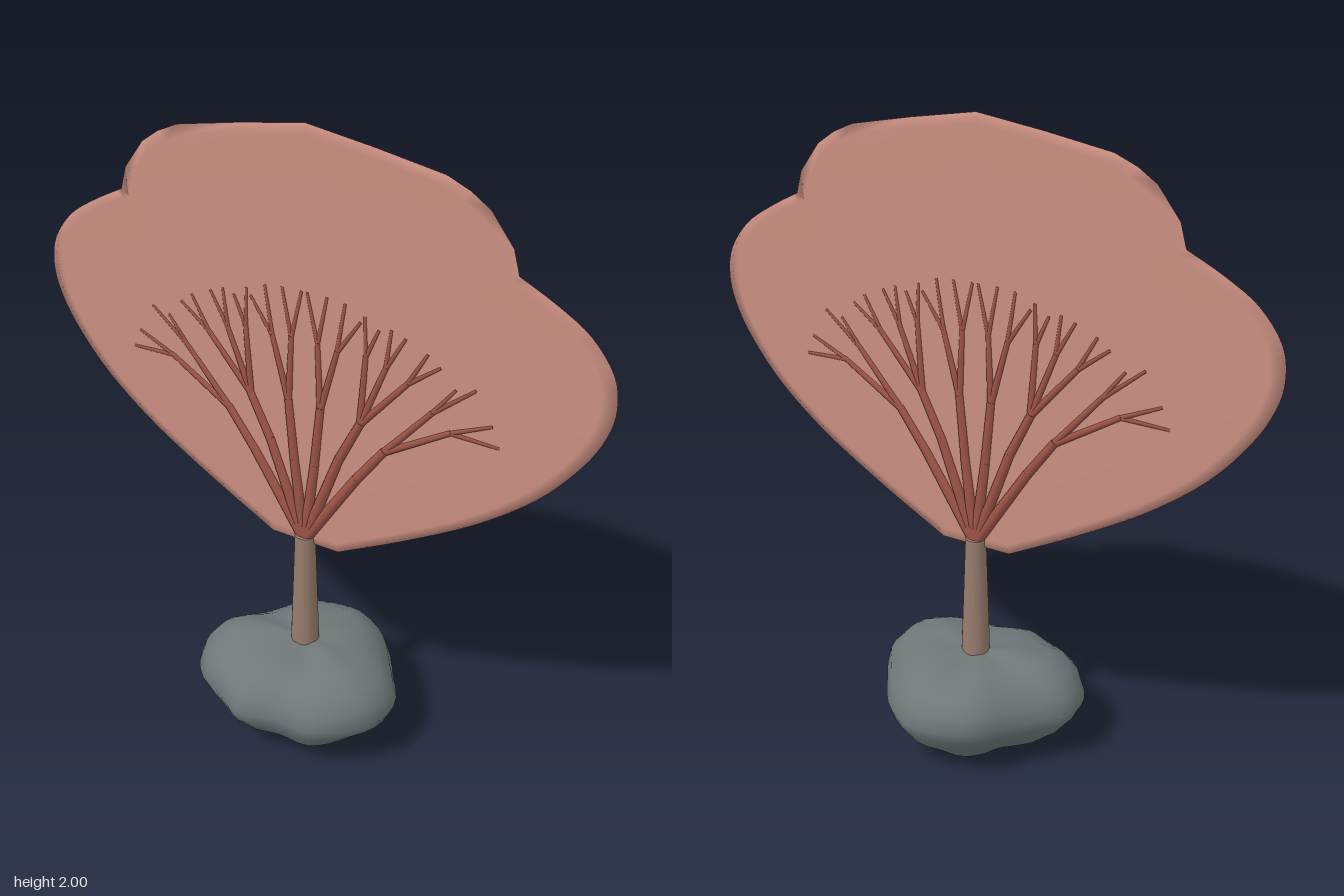
import * as THREE from 'three';

const mat = (name, color, side = THREE.FrontSide) => {
  const m = new THREE.MeshStandardMaterial({ color, side });
  m.name = name;
  return m;
};

// Skins a stack of closed loops; the first and last loop may shrink to a point.
function skin(loops) {
  const n = loops[0].length, pos = loops.flat(2), idx = [];
  for (let r = 0; r < loops.length - 1; r++) {
    for (let i = 0; i < n; i++) {
      const a = r * n + i, b = r * n + (i + 1) % n;
      idx.push(a, b, b + n, a, b + n, a + n);
    }
  }
  const g = new THREE.BufferGeometry();
  g.setAttribute('position', new THREE.Float32BufferAttribute(pos, 3));
  g.setIndex(idx);
  g.computeVertexNormals();
  return g;
}

function addMesh(parent, name, geometry, material) {
  const m = new THREE.Mesh(geometry, material);
  m.name = name;
  parent.add(m);
  return m;
}

// Lumpy boulder made of scaled copies of one plan outline
function rockGeometry() {
  const plan = [
    [-0.35, 0], [-0.345, 0.1], [-0.27, 0.21], [-0.16, 0.265], [-0.06, 0.31], [0.06, 0.275], [0.18, 0.27],
    [0.27, 0.21], [0.335, 0.12], [0.34, 0], [0.26, -0.13], [0.17, -0.25], [0.06, -0.32], [-0.06, -0.31],
    [-0.16, -0.26], [-0.22, -0.17], [-0.28, -0.09],
  ].map(([x, z]) => new THREE.Vector3(x, 0, z));
  const pts = new THREE.CatmullRomCurve3(plan, true).getPoints(48).slice(0, -1);
  // [scale, height, x shift]
  const rings = [
    [0, 0.003, -0.06], [0.28, 0.006, -0.06], [0.58, 0.03, -0.03], [0.82, 0.08, 0], [0.95, 0.13, 0], [1, 0.17, 0],
    [0.95, 0.22, 0], [0.83, 0.262, 0], [0.64, 0.293, 0], [0.35, 0.302, 0], [0, 0.303, 0],
  ];
  return skin(rings.map(([s, y, dx]) => pts.map((p, i) => {
    const a = i / pts.length * Math.PI * 2;
    const w = s * (1 - s) * 4;
    const k = s * (1 + 0.05 * w * Math.sin(3 * a + y * 22));
    return [p.x * k + dx, y + 0.008 * w * Math.sin(2 * a + 1) + 0.005 * w * Math.sin(5 * a), p.z * k];
  })));
}

// Thin lens-shaped blade with a soft rim
function fanGeometry() {
  const flank = new THREE.SplineCurve([
    [0.12, 0.67], [0.34, 0.785], [0.57, 0.92], [0.75, 1.06], [0.87, 1.2], [0.93, 1.31], [0.948, 1.4],
    [0.93, 1.49], [0.86, 1.58], [0.76, 1.645], [0.65, 1.7],
  ].map(p => new THREE.Vector2(...p))).getPoints(40);
  const crown = [[0.63, 1.77], [0.56, 1.86], [0.5, 1.9], [0.43, 1.93], [0.22, 1.967]].map(p => new THREE.Vector2(...p));
  const half = [...flank, ...crown];
  const outline = [...half, new THREE.Vector2(0, 2), ...half.map(p => new THREE.Vector2(-p.x, p.y)).reverse()];
  const cy = 1.32;
  const rings = [[0, -0.004], [0.6, -0.004], [0.955, -0.0035], [1, 0], [0.955, 0.0035], [0.6, 0.004], [0, 0.004]];
  return skin(rings.map(([s, z]) => outline.map(p => [p.x * s, cy + (p.y - cy) * s, z])));
}

// Tapered round limb between two points
function addLimb(parent, name, a, b, r0, r1, material) {
  const from = new THREE.Vector3(a[0], a[1], 0), dir = new THREE.Vector3(b[0], b[1], 0).sub(from);
  const len = dir.length();
  const m = addMesh(parent, name, new THREE.CylinderGeometry(r1, r0, len + r1, 8), material);
  m.position.copy(from).addScaledVector(dir, 0.5);
  m.quaternion.setFromUnitVectors(new THREE.Vector3(0, 1, 0), dir.normalize());
}

export function createModel() {
  const group = new THREE.Group();
  const stone = mat('grey stone', 0x6f7779);
  const bark = mat('brown stalk', 0x967c6c);
  const coral = mat('pale coral', 0xc98e80, THREE.DoubleSide);
  const vein = mat('red branches', 0x9c5347);

  addMesh(group, 'rock', rockGeometry(), stone);
  addMesh(group, 'stalk', new THREE.CylinderGeometry(0.033, 0.047, 0.42, 16), bark).position.y = 0.485;
  addMesh(group, 'fanBlade', fanGeometry(), coral);

  // Each stem forks into twigs, and each twig into tips
  const stems = [
    { mid: [0.18, 0.95], fork: [0.27, 1.07], twigs: [
      { at: [0.48, 1.195], tips: [[0.63, 1.19], [0.605, 1.25]] },
      { at: [0.42, 1.24], tips: [[0.55, 1.345], [0.49, 1.33]] },
    ] },
    { mid: [0.12, 1.0], fork: [0.19, 1.14], twigs: [
      { at: [0.34, 1.31], tips: [[0.44, 1.385], [0.4, 1.415]] },
      { at: [0.27, 1.34], tips: [[0.33, 1.445], [0.285, 1.46]] },
      { at: [0.205, 1.36], tips: [[0.245, 1.45], [0.2, 1.48]] },
    ] },
    { mid: [0.035, 0.95], fork: [0.055, 1.15], twigs: [
      { at: [0.11, 1.35], tips: [[0.185, 1.46], [0.135, 1.505]] },
      { at: [0.045, 1.36], tips: [[0.075, 1.51], [0.01, 1.51]] },
    ] },
  ];
  for (const side of [1, -1]) {
    const branches = new THREE.Group();
    branches.name = side > 0 ? 'leftBranches' : 'rightBranches';
    const f = ([x, y]) => [x * side, y];
    for (const { mid, fork, twigs } of stems) {
      addLimb(branches, 'stem', [0, 0.68], f(mid), 0.021, 0.017, vein);
      addLimb(branches, 'stem', f(mid), f(fork), 0.017, 0.015, vein);
      for (const { at, tips } of twigs) {
        addLimb(branches, 'twig', f(fork), f(at), 0.013, 0.01, vein);
        for (const tip of tips) addLimb(branches, 'tip', f(at), f(tip), 0.009, 0.006, vein);
      }
    }
    group.add(branches);
  }
  return group;
}
